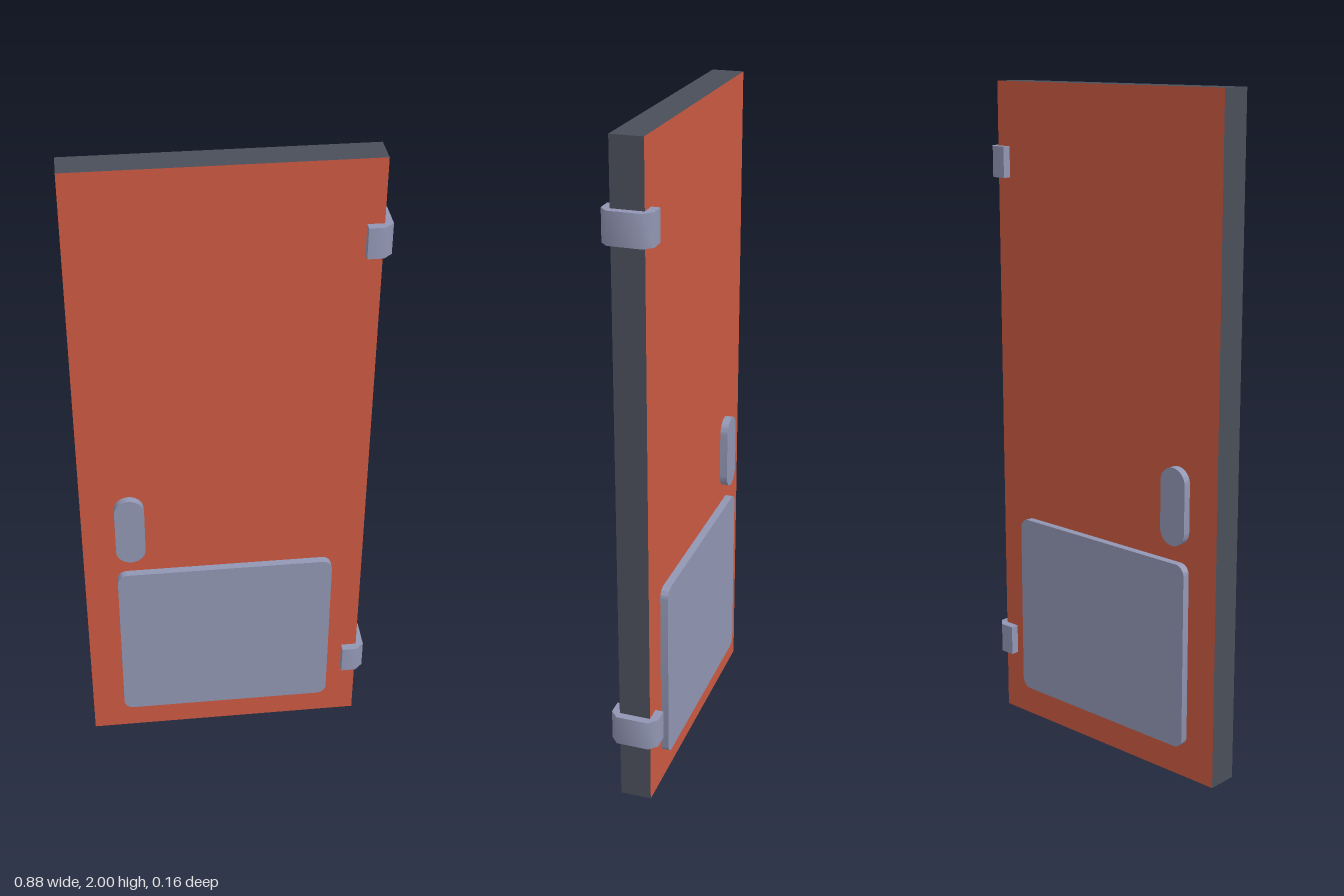
import * as THREE from 'three';
import { toCreasedNormals } from 'three/addons/utils/BufferGeometryUtils.js';

const HALF_W = 0.429, HALF_T = 0.047, HEIGHT = 2, PLATE = 0.0235;

const paint = new THREE.MeshStandardMaterial({ name: 'red paint', color: 0xcb5a42 });
const edge = new THREE.MeshStandardMaterial({ name: 'dark edge', color: 0x4a4e59 });
const metal = new THREE.MeshStandardMaterial({ name: 'grey metal', color: 0x9196b3 });

// Rounded rectangle outline given by its centre, size and corner radius
function roundedRect(cx, cy, w, h, r) {
  const s = new THREE.Shape();
  const x = w / 2 - r, y = h / 2 - r;
  s.absarc(cx + x, cy + y, r, 0, Math.PI / 2);
  s.absarc(cx - x, cy + y, r, Math.PI / 2, Math.PI);
  s.absarc(cx - x, cy - y, r, Math.PI, Math.PI * 1.5);
  s.absarc(cx + x, cy - y, r, Math.PI * 1.5, Math.PI * 2);
  return s;
}

function extrude(shape, depth) {
  const geo = new THREE.ExtrudeGeometry(shape, { depth, bevelEnabled: false, curveSegments: 5 });
  return toCreasedNormals(geo, 0.9);
}

function addMesh(parent, name, geometry, material) {
  const mesh = new THREE.Mesh(geometry, material);
  mesh.name = name;
  parent.add(mesh);
  return mesh;
}

export function createModel() {
  const group = new THREE.Group();
  group.name = 'door';

  // The whole door stands slightly ajar
  const door = new THREE.Group();
  door.name = 'swingingDoor';
  door.position.set(-0.0125, 0, -0.002);
  door.rotation.y = 0.0263;
  group.add(door);

  // Slab: painted faces, dark edges
  const slab = addMesh(door, 'slab', new THREE.BoxGeometry(HALF_W * 2, HEIGHT, HALF_T * 2),
    [edge, edge, edge, edge, paint, paint]);
  slab.position.y = HEIGHT / 2;

  // Kick plate and push plate on both faces
  const kick = extrude(roundedRect(0.0015, 0.3835, 0.662, 0.567, 0.03), PLATE);
  const push = extrude(roundedRect(-0.285, 0.836, 0.089, 0.232, 0.0444), PLATE);
  for (const [side, z] of [['front', HALF_T], ['back', -HALF_T - PLATE]]) {
    addMesh(door, side + 'KickPlate', kick, metal).position.z = z;
    addMesh(door, side + 'PushPlate', push, metal).position.z = z;
  }

  // Hinges: chamfered clips wrapped around the hinge edge
  const clip = new THREE.Shape([
    [0.3815, -0.072], [0.4275, -0.072], [0.4525, -0.049], [0.4525, 0.049],
    [0.4275, 0.072], [0.3815, 0.072], [0.3815, HALF_T], [HALF_W, HALF_T],
    [HALF_W, -HALF_T], [0.3815, -HALF_T],
  ].map(([x, y]) => new THREE.Vector2(x, y)));
  const hinge = extrude(clip, 0.092).rotateX(-Math.PI / 2);
  addMesh(door, 'lowerHinge', hinge, metal).position.y = 0.195;
  addMesh(door, 'upperHinge', hinge, metal).position.y = 1.719;

  return group;
}
